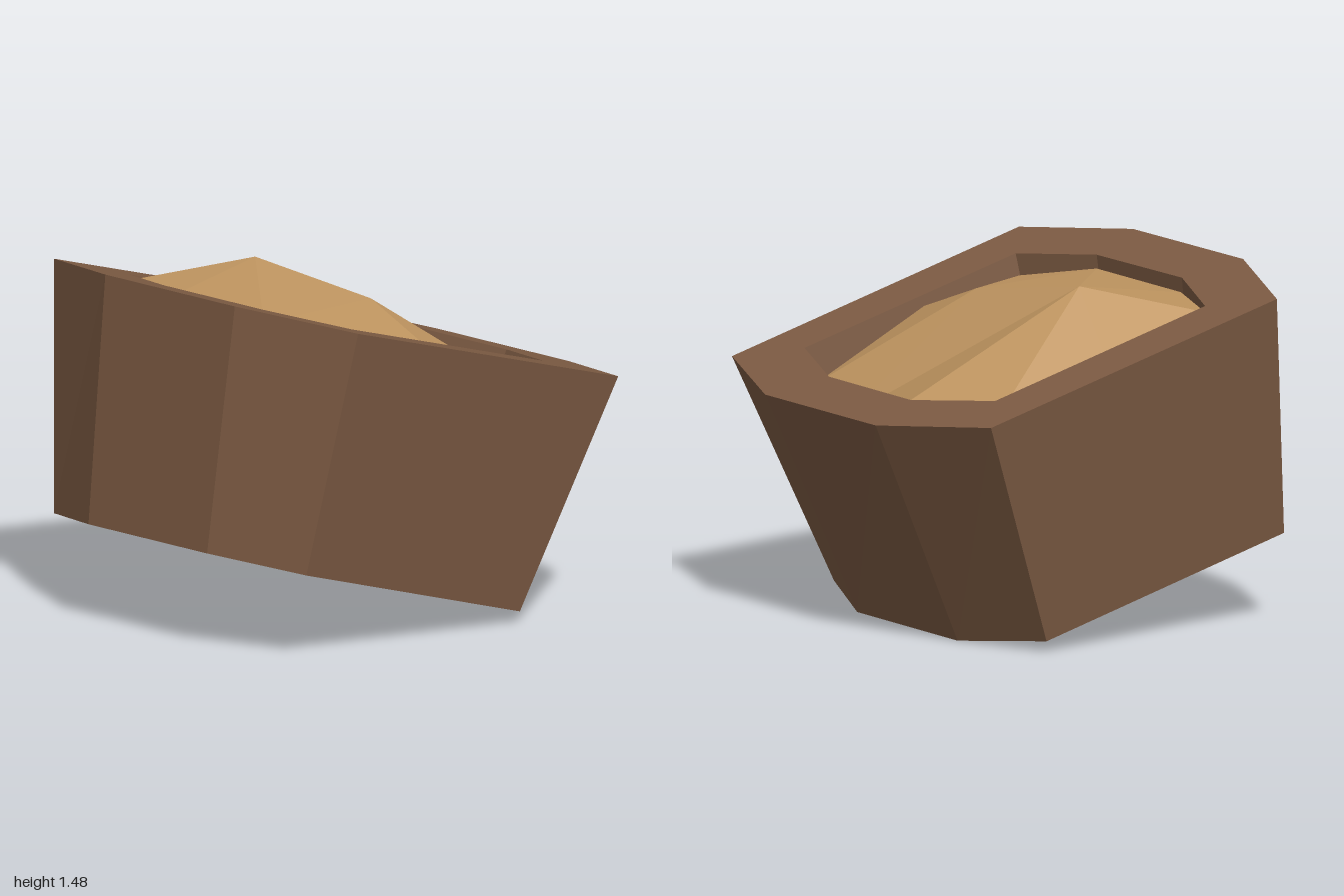
import * as THREE from 'three';

// Flat-sided strip through successive rings of equal point count
function loft(rings) {
  const pos = [], n = rings[0].length;
  for (let r = 0; r < rings.length - 1; r++) {
    const a = rings[r], b = rings[r + 1];
    for (let i = 0; i < n; i++) {
      const j = (i + 1) % n;
      pos.push(...a[i], ...a[j], ...b[j], ...a[i], ...b[j], ...b[i]);
    }
  }
  return geometry(pos);
}

function geometry(pos) {
  const g = new THREE.BufferGeometry();
  g.setAttribute('position', new THREE.Float32BufferAttribute(pos, 3));
  g.computeVertexNormals();
  return g;
}

// Put x,z outline points on the tilted plane y = y0 + slope * z
const onPlane = (pts, y0, slope) => pts.map(([x, z]) => [x, y0 + slope * z, z]);

export function createModel() {
  const group = new THREE.Group();
  const wood = new THREE.MeshStandardMaterial({ color: 0x7d5b43, flatShading: true, side: THREE.DoubleSide });
  wood.name = 'brown wood';
  const fill = new THREE.MeshStandardMaterial({ color: 0xbf9560, flatShading: true, side: THREE.DoubleSide });
  fill.name = 'tan filling';
  const add = (name, geo, mat) => {
    const mesh = new THREE.Mesh(geo, mat);
    mesh.name = name;
    group.add(mesh);
  };

  // Tilted eight-sided outlines, counterclockwise from above
  const base = onPlane([[-0.8, 0.82], [-0.37, 1], [0.38, 0.99], [0.81, 0.81],
    [0.8, -0.39], [0.37, -0.56], [-0.39, -0.56], [-0.81, -0.39]], 0.155, 0.275);
  const rim = onPlane([[-0.97, 0.67], [-0.4, 0.88], [0.42, 0.87], [0.97, 0.66],
    [0.96, -0.8], [0.41, -1], [-0.42, -0.995], [-0.98, -0.785]], 1.246, 0.271);
  const lip = onPlane([[-0.71, 0.48], [-0.31, 0.63], [0.32, 0.62], [0.71, 0.47],
    [0.71, -0.6], [0.3, -0.75], [-0.32, -0.75], [-0.72, -0.59]], 1.246, 0.271);
  // The cavity follows the outer taper to half depth
  const floor = lip.map((p, i) => p.map((v, k) => v + 0.5 * (base[i][k] - rim[i][k])));

  add('outerWall', loft([base, rim]), wood);
  add('topRim', loft([rim, lip]), wood);
  add('innerWall', loft([lip, floor]), wood);
  const floorPos = [];
  for (let i = 1; i < 7; i++) floorPos.push(...floor[0], ...floor[i], ...floor[i + 1]);
  add('cavityFloor', geometry(floorPos), wood);

  // Faceted mound: a border loop (0-9) and two peaks (10, 11)
  const m = [[-0.71, 1.35, 0.48], [-0.31, 1.355, 0.625], [0.32, 1.355, 0.62], [0.695, 1.28, 0.48],
    [0.7, 1.2, 0], [0.68, 0.93, -0.565], [0.3, 0.86, -0.665], [-0.27, 1.02, -0.74],
    [-0.705, 1.0, -0.575], [-0.71, 1.2, -0.02], [-0.37, 1.45, 0.07], [0.24, 1.355, -0.045]];
  const faces = [[10, 9, 0], [10, 0, 1], [10, 1, 2], [10, 2, 11], [11, 2, 3], [11, 3, 4],
    [11, 4, 5], [11, 5, 6], [10, 11, 6], [10, 6, 7], [10, 7, 8], [10, 8, 9]];
  add('filling', geometry(faces.flatMap(f => f.flatMap(i => m[i]))), fill);

  return group;
}
